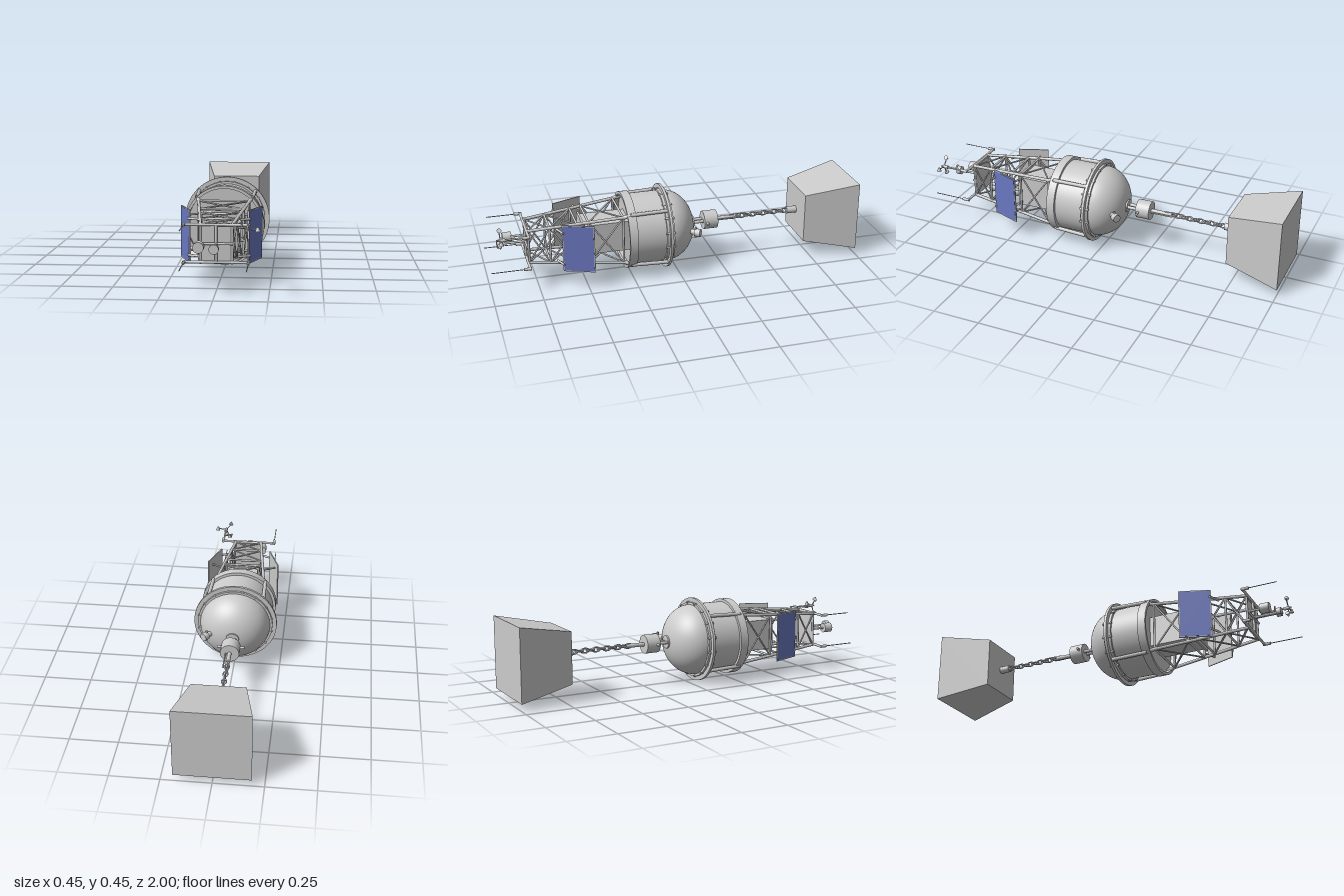
import * as THREE from 'three';

const V = (x, y, z) => new THREE.Vector3(x, y, z);
const grey = new THREE.MeshStandardMaterial({ color: 0xcccccc, side: THREE.DoubleSide });
const flat = new THREE.MeshStandardMaterial({ color: 0xcccccc, flatShading: true });
const blue = new THREE.MeshStandardMaterial({ color: 0x6a78c0 });

export function createModel() {
  const root = new THREE.Group();
  root.name = 'mooredBuoy';
  // everything is built around the z axis, then lifted
  const body = new THREE.Group();
  body.name = 'buoyAssembly';
  body.position.y = 0.225;
  root.add(body);

  function add(name, geo, pos = V(0, 0, 0), mat = grey, parent = body) {
    const m = new THREE.Mesh(geo, mat);
    m.name = name;
    m.position.copy(pos);
    parent.add(m);
    return m;
  }
  // round bar between two points, optionally tapered
  function bar(name, a, b, r, parent = body, r2 = r, seg = 10) {
    const d = b.clone().sub(a);
    const m = add(name, new THREE.CylinderGeometry(r2, r, d.length(), seg), a.clone().add(b).multiplyScalar(0.5), grey, parent);
    m.quaternion.setFromUnitVectors(V(0, 1, 0), d.normalize());
    return m;
  }
  const along = (name, x, y, z0, z1, r, seg = 32) => bar(name, V(x, y, z0), V(x, y, z1), r, body, r, seg);
  // lathe profile given as [radius, z]
  function lathe(name, pts) {
    const g = new THREE.LatheGeometry(pts.map(p => new THREE.Vector2(p[0], p[1])), 64);
    g.rotateX(Math.PI / 2);
    return add(name, g);
  }
  const band = (name, r0, r1, z0, z1) => {
    const c = [[r0, z0], [r1, z0], [r1, z1], [r0, z1], [r0, z0]];
    for (let i = 0; i < 4; i++) lathe(name, [c[i], c[i + 1]]);
  };

  // anchor block: square frustum
  const anchor = new THREE.CylinderGeometry(0.135 * Math.SQRT2, 0.19 * Math.SQRT2, 0.29, 4);
  anchor.rotateY(Math.PI / 4).rotateX(Math.PI / 2);
  add('anchorBlock', anchor, V(0, 0, -0.855), flat);
  along('anchorEye', 0, 0, -0.715, -0.655, 0.019);

  // chain of alternating links
  const chain = new THREE.Group();
  chain.name = 'chain';
  body.add(chain);
  for (let i = 0; i < 11; i++) {
    const link = new THREE.TorusGeometry(0.0125, 0.0045, 6, 16);
    link.scale(1.55, 0.95, 1).rotateY(Math.PI / 2).rotateZ(i % 2 ? Math.PI / 2 : 0);
    add('chainLink', link, V(0, 0, -0.645 + i * 0.031), grey, chain);
  }

  // swivel, shackle rods and collar weight
  along('swivel', 0, 0, -0.36, -0.24, 0.011, 12);
  along('shackleRod', 0.02, 0, -0.37, -0.24, 0.004, 8);
  along('shackleRod', -0.008, 0.008, -0.42, -0.35, 0.004, 8);
  along('collarWeight', 0, 0, -0.245, -0.17, 0.05, 32);
  bar('collarPin', V(-0.072, 0, -0.185), V(0.072, 0, -0.185), 0.007);
  for (const s of [-1, 1]) along('collarRod', s * 0.016, 0, -0.18, -0.085, 0.009, 12);
  along('domeBoss', 0, 0, -0.115, -0.09, 0.035);

  // hull: dome, drum and deck
  const dome = [];
  for (let i = 0; i <= 20; i++) {
    const a = i / 20 * Math.PI / 2;
    dome.push([0.19 * Math.sin(a), 0.05 - 0.16 * Math.cos(a)]);
  }
  lathe('hullDome', dome);
  lathe('hullDrum', [[0.19, 0.05], [0.19, 0.255]]);
  lathe('hullDeck', [[0.19, 0.255], [0, 0.255]]);
  band('hullFlange', 0.188, 0.225, 0.052, 0.066);
  band('flangeCollar', 0.188, 0.202, 0.04, 0.08);
  band('deckHoop', 0.19, 0.205, 0.235, 0.28);
  for (let i = 0; i < 4; i++) {
    const a = Math.PI / 4 + i * Math.PI / 2, c = Math.cos(a), s = Math.sin(a);
    bar('hullStrut', V(c * 0.211, s * 0.211, 0.06), V(c * 0.203, s * 0.203, 0.26), 0.01);
    // feet tying the tower legs to the hoop
    bar('towerFoot', V(c * 0.2, s * 0.2, 0.26), V(c * 0.18, s * 0.18, 0.3), 0.01);
  }
  for (let i = 0; i < 16; i++) {
    const a = (i + 0.5) / 16 * Math.PI * 2;
    along('flangeBolt', Math.cos(a) * 0.2, Math.sin(a) * 0.2, 0.035, 0.085, 0.006, 8);
  }

  // small fitting on the dome
  bar('domeFitting', V(0.115, 0, -0.06), V(0.14, 0, -0.09), 0.014);
  bar('domeFittingCap', V(0.138, 0, -0.087), V(0.156, 0, -0.112), 0.021, body, 0.021, 16);
  bar('domeFittingPin', V(0.14, -0.028, -0.09), V(0.14, 0.028, -0.09), 0.006);

  // lattice tower
  const tower = new THREE.Group();
  tower.name = 'latticeTower';
  body.add(tower);
  const corner = (k, z) => {
    const t = (z - 0.26) / 0.53;
    const sx = [1, -1, -1, 1][k % 4], sy = [1, 1, -1, -1][k % 4];
    return V(sx * (0.135 - 0.06 * t), sy * (0.133 - 0.043 * t), z);
  };
  const levels = [0.3, 0.48, 0.54, 0.68, 0.79];
  for (let k = 0; k < 4; k++) {
    bar('towerLeg', corner(k, 0.255), corner(k, 0.795), 0.0085, tower);
    levels.forEach((z, i) => {
      bar('towerRail', corner(k, z), corner(k + 1, z), 0.006, tower);
      if (i === 4 || i === 1) return;
      bar('towerBrace', corner(k, z), corner(k + 1, levels[i + 1]), 0.0045, tower);
      bar('towerBrace', corner(k + 1, z), corner(k, levels[i + 1]), 0.0045, tower);
    });
  }
  add('equipmentBox', new THREE.BoxGeometry(0.165, 0.165, 0.25), V(0, 0, 0.38));
  add('equipmentBoxRim', new THREE.BoxGeometry(0.185, 0.185, 0.012), V(0, 0, 0.5));
  add('headPlate', new THREE.BoxGeometry(0.15, 0.17, 0.005), V(0, 0, 0.785));

  // solar panels, angled outward
  for (const s of [-1, 1]) {
    const panel = new THREE.Group();
    panel.name = s > 0 ? 'leftSolarPanel' : 'rightSolarPanel';
    panel.position.set(s * 0.17, 0.001, 0.545);
    panel.rotation.y = s * 1.212;
    body.add(panel);
    add('panelFrame', new THREE.BoxGeometry(0.168, 0.262, 0.006), V(0, 0, 0), grey, panel);
    add('panelCells', new THREE.BoxGeometry(0.158, 0.252, 0.003), V(0, 0, 0.0028), blue, panel);
    for (const y of [-0.09, 0.09]) {
      bar('panelBracket', V(s * 0.09, y, 0.645), V(s * 0.152, y, 0.62), 0.006);
      bar('panelBracket', V(s * 0.115, y, 0.48), V(s * 0.18, y, 0.51), 0.005);
    }
  }

  // front cross bars and whisker aerials
  for (const y of [-0.088, 0.09]) {
    bar('crossBar', V(-0.155, y, 0.797), V(0.152, y, 0.797), 0.007);
    for (const s of [-1, 1]) {
      along('aerialBase', s * 0.152, y, 0.79, 0.83, 0.008, 12);
      if (y < 0 || s < 0) along('aerial', s * 0.152, y, 0.82, y < 0 ? 1 : 0.975, 0.0025, 6);
    }
  }
  bar('centrePost', V(0, -0.088, 0.797), V(0, 0.09, 0.797), 0.007);
  bar('sensorBar', V(-0.078, 0, 0.797), V(0.08, 0, 0.797), 0.006);

  // lamp and beacon
  along('lampStem', -0.075, 0, 0.795, 0.87, 0.006, 12);
  along('lamp', -0.075, 0, 0.86, 0.908, 0.026);
  along('beaconStem', 0, 0, 0.795, 0.93, 0.006, 12);
  along('beacon', 0, 0, 0.922, 0.946, 0.023);

  // cup anemometer
  along('anemometerPost', 0.15, 0.09, 0.8, 0.955, 0.005, 10);
  bar('anemometerArm', V(0.15, 0.09, 0.865), V(0.105, 0.09, 0.88), 0.005);
  along('anemometerHub', 0.15, 0.09, 0.915, 0.945, 0.009, 12);
  for (const a of [0.1, 2.27, 4.3]) {
    const c = Math.cos(a), s = Math.sin(a);
    const p = V(0.15 + c * 0.05, 0.09 + s * 0.05, 0.94);
    bar('cupArm', V(0.15, 0.09, 0.94), p, 0.003);
    const t = V(-s * 0.01, c * 0.01, 0);
    bar('cup', p.clone().sub(t), p.clone().add(t), 0.012, body, 0.005, 16);
  }
  return root;
}
